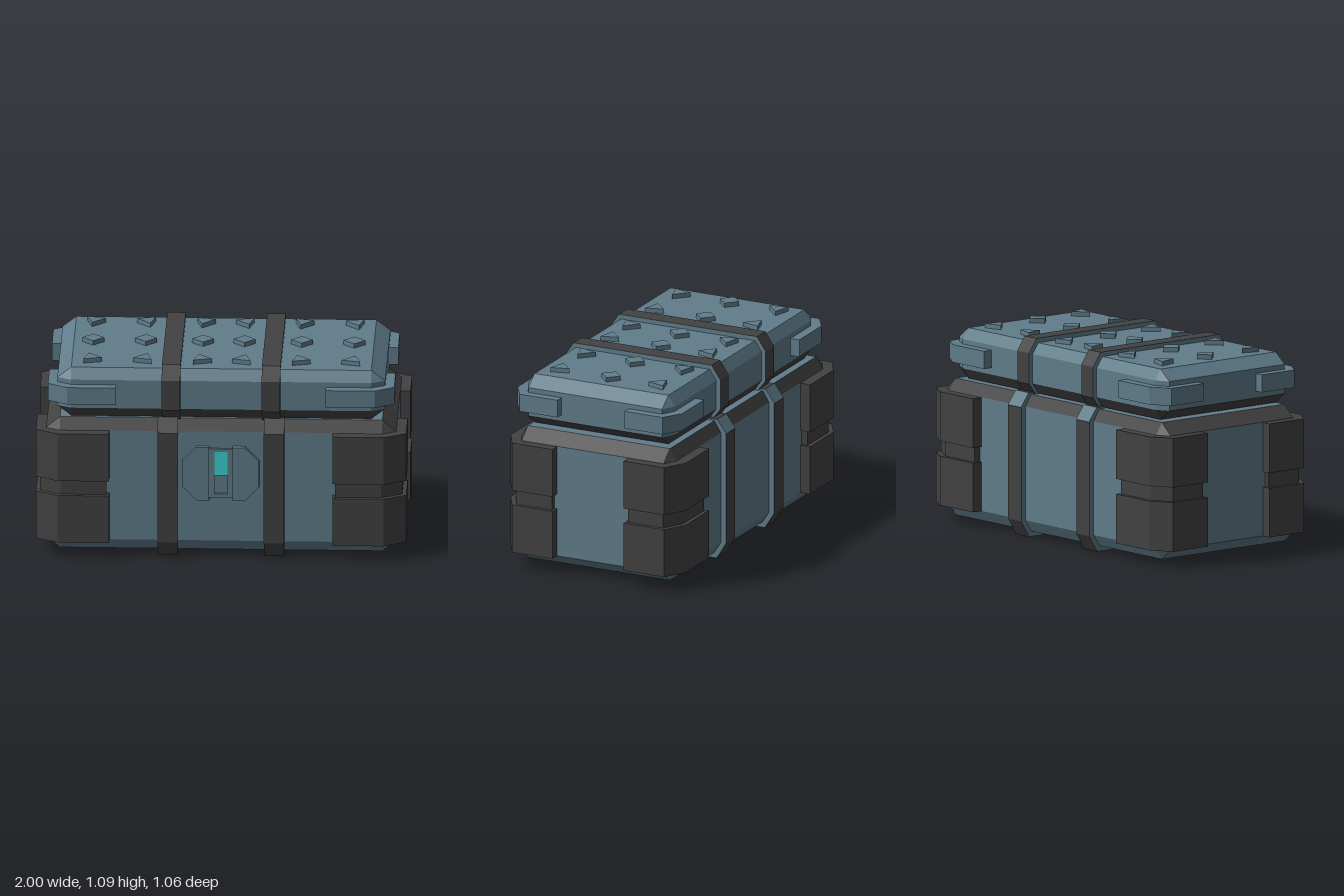
import * as THREE from 'three';

const mat = (name, color) => Object.assign(new THREE.MeshStandardMaterial({ color, flatShading: true }), { name });

export function createModel() {
  const root = new THREE.Group();
  root.name = 'storageCrate';
  const blue = mat('slateBlue', 0x607d8b);
  const dark = mat('charcoal', 0x424242);
  const cyan = mat('cyanLight', 0x3fd5d8);

  const add = (name, geo, material, x = 0, y = 0, z = 0, parent = root) => {
    const m = new THREE.Mesh(geo, material);
    m.name = name;
    m.position.set(x, y, z);
    parent.add(m);
    return m;
  };
  const box = (w, h, d) => new THREE.BoxGeometry(w, h, d);
  const shapeOf = (pts) => new THREE.Shape(pts.map(([a, b]) => new THREE.Vector2(a, b)));
  const extrude = (shape, depth) => new THREE.ExtrudeGeometry(shape, { depth, bevelEnabled: false });

  // Box with every edge chamfered; material groups: bottom, lower chamfer, side, upper chamfer, top
  function chamferBox(ox, oz, y0, y1, bx, by, bz) {
    const ix = ox - bx, iz = oz - bz;
    const ring = (ax, az, y) => [[-ix, az], [ix, az], [ax, iz], [ax, -iz], [ix, -az], [-ix, -az], [-ax, -iz], [-ax, iz]]
      .map(([x, z]) => new THREE.Vector3(x, y, z));
    const rings = [ring(ix, iz, y0), ring(ox, oz, y0 + by), ring(ox, oz, y1 - by), ring(ix, iz, y1)];
    const pos = [], geo = new THREE.BufferGeometry();
    const tri = (a, b, c) => {
      if (!a.equals(b) && !b.equals(c) && !c.equals(a)) [a, b, c].forEach((v) => pos.push(v.x, v.y, v.z));
    };
    const quad = (a, b, c, d) => { tri(a, b, c); tri(a, c, d); };
    const group = (index, build) => {
      const start = pos.length / 3;
      build();
      geo.addGroup(start, pos.length / 3 - start, index);
    };
    const [bot, , , top] = rings;
    group(0, () => quad(bot[7], bot[5], bot[3], bot[1]));
    for (let r = 0; r < 3; r++) {
      group(r + 1, () => {
        for (let i = 0; i < 8; i++) {
          const j = (i + 1) % 8;
          quad(rings[r][i], rings[r][j], rings[r + 1][j], rings[r + 1][i]);
        }
      });
    }
    group(4, () => quad(top[1], top[3], top[5], top[7]));
    geo.setAttribute('position', new THREE.Float32BufferAttribute(pos, 3));
    geo.computeVertexNormals();
    return geo;
  }

  // Band around the box: a z/y outline extruded along x
  const strapGeo = (width, outer, inner, y0, y1, y2, y3) =>
    extrude(shapeOf([[-inner, y0], [inner, y0], [outer, y1], [outer, y2],
      [inner, y3], [-inner, y3], [-outer, y2], [-outer, y1]]), width)
      .rotateY(-Math.PI / 2).translate(width / 2, 0, 0);

  // L-shaped corner guard with a chamfered outer corner
  const cornerGeo = (sx, sz, p, height) => extrude(shapeOf([
    [p.x0, p.oz], [p.cx, p.oz], [p.ox, p.cz], [p.ox, p.z0],
    [p.ix, p.z0], [p.ix, p.iz], [p.x0, p.iz],
  ].map(([x, z]) => [x * sx, -z * sz])), height).rotateX(-Math.PI / 2);

  // Body and lid
  const lid = new THREE.Group();
  lid.name = 'lid';
  lid.position.z = 0.015;
  root.add(lid);
  add('body', chamferBox(0.945, 0.47, 0.03, 0.78, 0.075, 0.063, 0.04), [blue, blue, blue, dark, blue]);
  add('lidShell', chamferBox(0.885, 0.445, 0.783, 1.06, 0.075, 0.058, 0.04), [dark, dark, blue, blue, blue], 0, 0, 0, lid);

  // Straps
  for (const s of [-1, 1]) {
    add('bodyStrap', strapGeo(0.11, 0.5, 0.445, 0, 0.09, 0.715, 0.79), [blue, dark], s * 0.287);
    add('lidStrap', strapGeo(0.1, 0.47, 0.418, 0.772, 0.84, 1.01, 1.085), [blue, dark], s * 0.27, 0, 0, lid);
    add('hingePlate', box(0.11, 0.093, 0.006), blue, s * 0.287, 0.7525, -0.4725).rotation.x = 0.633;
  }

  // Corner guards on the body, bumpers on the lid
  const pad = { x0: 0.603, cx: 0.88, ox: 1, oz: 0.53, cz: 0.46, z0: 0.216, ix: 0.85, iz: 0.41 };
  const waist = { ...pad, x0: 0.617, cx: 0.865, ox: 0.978, oz: 0.507, cz: 0.443, z0: 0.23 };
  const bumper = { x0: 0.566, cx: 0.83, ox: 0.935, oz: 0.498, cz: 0.432, z0: 0.203, ix: 0.8, iz: 0.39 };
  for (const sx of [-1, 1]) {
    for (const sz of [-1, 1]) {
      add('lowerCornerGuard', cornerGeo(sx, sz, pad, 0.27), dark, 0, 0.092);
      add('cornerGuardWaist', cornerGeo(sx, sz, waist, 0.084), dark, 0, 0.361);
      add('upperCornerGuard', cornerGeo(sx, sz, pad, 0.27), dark, 0, 0.445);
      add('lidBumper', cornerGeo(sx, sz, bumper, 0.097), blue, 0, 0.878, 0, lid);
    }
  }

  // Raised studs: triangles at the corners of each lid panel, diamonds midway
  for (const [panel, dx] of [[-0.563, 0.142], [0, 0.112], [0.563, 0.142]]) {
    for (const sx of [-1, 1]) {
      const x = panel + sx * dx;
      const diamond = add('diamondStud', new THREE.CylinderGeometry(0.058, 0.058, 0.03, 4), blue, x, 1.07, -0.005, lid);
      diamond.scale.x = 1.02;
      for (const sz of [-1, 1]) {
        add('triangleStud', new THREE.CylinderGeometry(0.06, 0.06, 0.03, 3), blue, x, 1.07, sz * 0.298, lid)
          .rotation.y = Math.atan2(sx, sz);
      }
    }
  }

  // Latch: two faceted wings and a slotted centre with a light
  for (const s of [-1, 1]) {
    add('latchWing', extrude(shapeOf([[0.063, 0.33], [0.13, 0.33], [0.207, 0.41], [0.207, 0.557],
      [0.13, 0.635], [0.063, 0.635]].map(([x, y]) => [x * s, y])), 0.04), blue, 0, 0, 0.457);
  }
  const plate = shapeOf([[-0.065, 0.345], [0.065, 0.345], [0.065, 0.622], [-0.065, 0.622]]);
  plate.holes.push(new THREE.Path([[-0.035, 0.365], [-0.035, 0.605], [0.035, 0.605], [0.035, 0.365]]
    .map(([x, y]) => new THREE.Vector2(x, y))));
  add('latchPlate', extrude(plate, 0.028), blue, 0, 0, 0.457);
  add('latchLight', box(0.07, 0.135, 0.008), cyan, 0, 0.5375, 0.475);

  return root;
}
